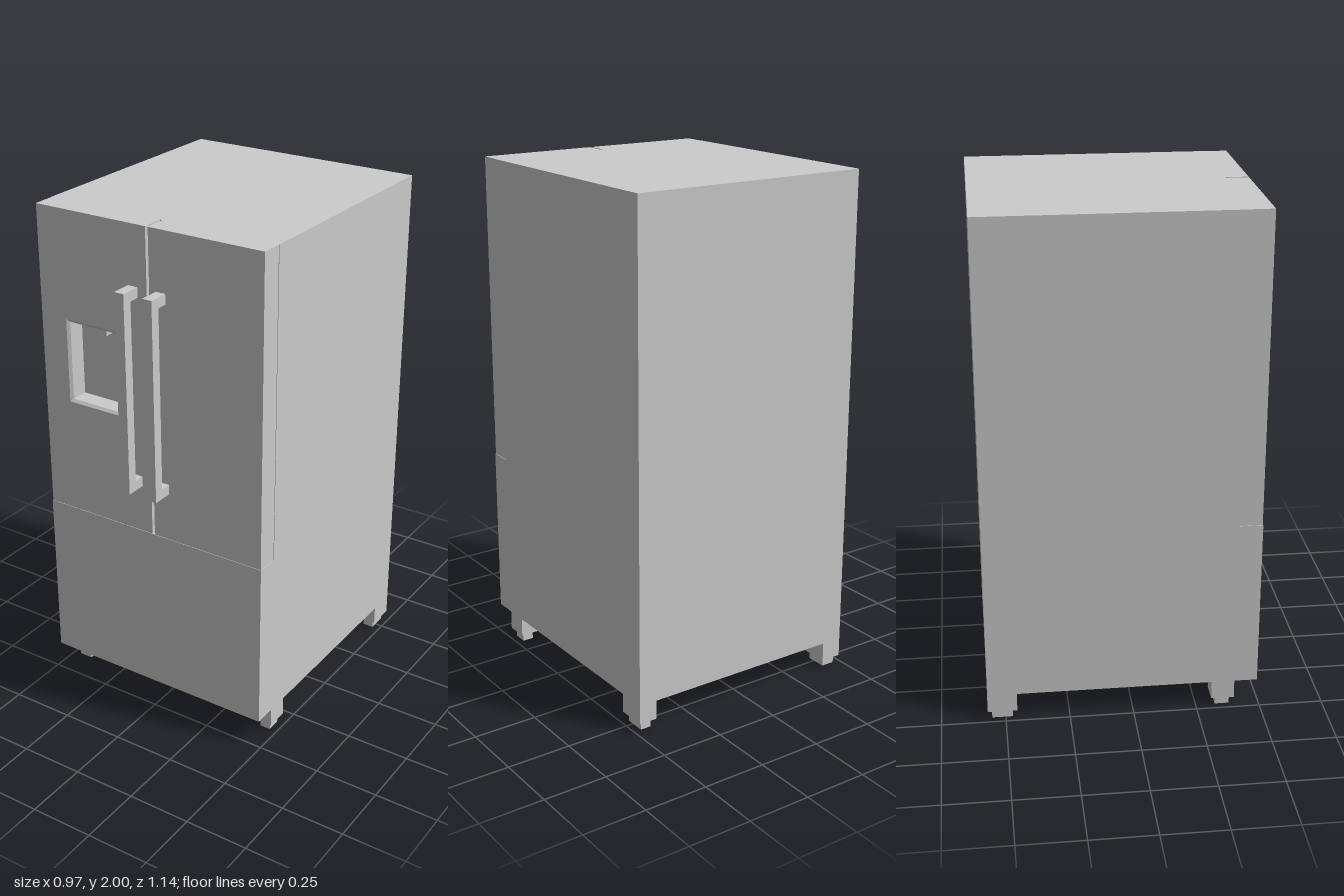
import * as THREE from 'three';

const material = new THREE.MeshStandardMaterial({ color: 0xcccccc, flatShading: true });

export function createModel() {
  const model = new THREE.Group();

  const add = (name, geometry) => {
    const mesh = new THREE.Mesh(geometry, material);
    mesh.name = name;
    model.add(mesh);
    return mesh;
  };

  // Box given by its limits on each axis
  const box = (name, x0, x1, y0, y1, z0, z1) =>
    add(name, new THREE.BoxGeometry(x1 - x0, y1 - y0, z1 - z0)
      .translate((x0 + x1) / 2, (y0 + y1) / 2, (z0 + z1) / 2));

  const corners = (x0, x1, y0, y1) => [[x0, y0], [x1, y0], [x1, y1], [x0, y1]];
  const outline = (points) => points.map(([x, y]) => new THREE.Vector2(x, y));

  // Side profile of [z, y] points, extruded from x0 to x1
  const sideProfile = (name, points, x0, x1) =>
    add(name, new THREE.ExtrudeGeometry(new THREE.Shape(outline(points)), { depth: x1 - x0, bevelEnabled: false })
      .rotateY(-Math.PI / 2).translate(x1, 0, 0));

  // Cabinet with the flush freezer drawer below the doors
  sideProfile('cabinet', [[-0.57, 0.11], [0.49, 0.11], [0.49, 0.787], [0.4, 0.787], [0.4, 2], [-0.57, 2]], -0.485, 0.485);

  // Upper doors, separated by a narrow gap
  box('leftDoor', 0.011, 0.483, 0.787, 2, 0.4, 0.488);
  const door = new THREE.Shape(outline(corners(-0.483, 0, 0.787, 2)));
  door.holes.push(new THREE.Path(outline(corners(-0.37, -0.12, 1.245, 1.578))));
  add('rightDoor', new THREE.ExtrudeGeometry(door, { depth: 0.088, bevelEnabled: false }).translate(0, 0, 0.4));

  // Dispenser recess: sloped rim, straight walls and a back, lofted from rectangles
  const loops = [
    [corners(-0.37, -0.12, 1.245, 1.578), 0.488],
    [corners(-0.36, -0.13, 1.255, 1.567), 0.478],
    [corners(-0.36, -0.13, 1.255, 1.567), 0.41],
  ];
  const positions = loops.flatMap(([points, z]) => points.flatMap(([x, y]) => [x, y, z]));
  const index = [8, 9, 10, 8, 10, 11];
  for (let ring = 0; ring < 2; ring++) {
    for (let i = 0; i < 4; i++) {
      const a = ring * 4 + i, b = ring * 4 + (i + 1) % 4;
      index.push(a, b, b + 4, a, b + 4, a + 4);
    }
  }
  const recess = new THREE.BufferGeometry();
  recess.setAttribute('position', new THREE.Float32BufferAttribute(positions, 3));
  recess.setIndex(index);
  const recessFlat = recess.toNonIndexed();
  recessFlat.computeVertexNormals();
  add('dispenserRecess', recessFlat);

  // Dispenser spout hanging from the recess ceiling
  const spout = new THREE.Shape(outline([[-0.285, 1.567], [-0.285, 1.545], [-0.275, 1.535], [-0.205, 1.535], [-0.195, 1.545], [-0.195, 1.567]]));
  add('dispenserSpout', new THREE.ExtrudeGeometry(spout, { depth: 0.05, bevelEnabled: false }).translate(0, 0, 0.425));

  // Square-section bracket handles
  const handle = [[0.486, 0.98], [0.57, 0.98], [0.57, 1.77], [0.486, 1.77], [0.486, 1.73], [0.53, 1.73], [0.53, 1.02], [0.486, 1.02]];
  sideProfile('rightHandle', handle, -0.08, -0.04);
  sideProfile('leftHandle', handle, 0.04, 0.08);

  // Legs with smaller feet
  for (const [side, x0, x1] of [['right', -0.485, -0.4], ['left', 0.411, 0.485]]) {
    for (const [end, z0, z1] of [['Front', 0.31, 0.4], ['Back', -0.57, -0.455]]) {
      box(`${side}${end}Leg`, x0, x1, 0.035, 0.11, z0, z1);
      box(`${side}${end}Foot`, x0 + 0.015, x1 - 0.015, 0, 0.035, z0 + 0.017, z1 - 0.017);
    }
  }

  return model;
}
